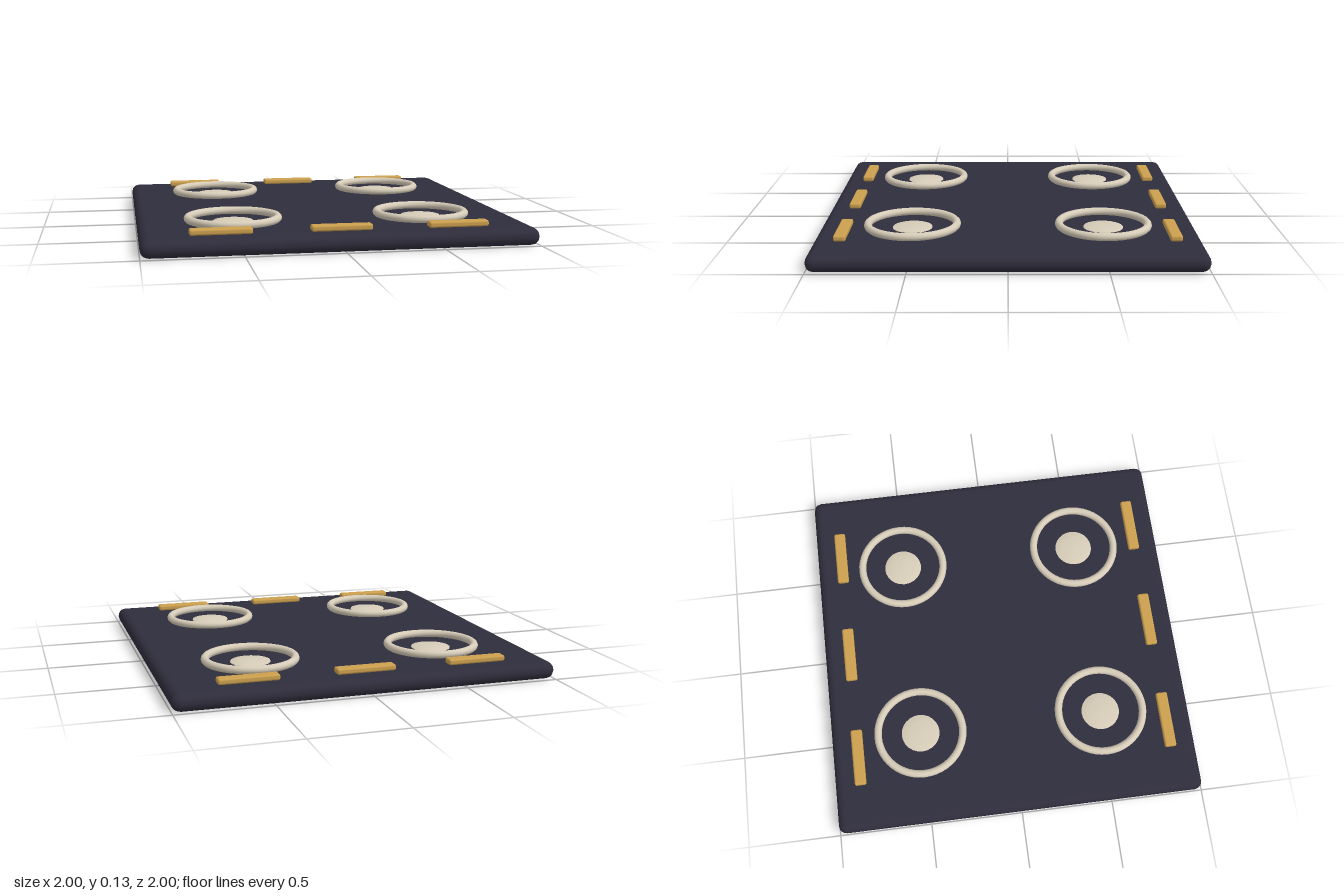
import * as THREE from 'three';
import { RoundedBoxGeometry } from 'three/addons/geometries/RoundedBoxGeometry.js';

function material(name, color) {
  const m = new THREE.MeshStandardMaterial({ color });
  m.name = name;
  return m;
}

export function createModel() {
  const group = new THREE.Group();
  const navy = material('dark navy', 0x2f2d3c);
  const cream = material('cream', 0xd6ccb8);
  const gold = material('gold', 0xcb9f4e);

  const add = (name, geometry, mat, x, y, z) => {
    const mesh = new THREE.Mesh(geometry, mat);
    mesh.name = name;
    mesh.position.set(x, y, z);
    group.add(mesh);
  };

  // Square slab with rounded edges
  add('slab', new RoundedBoxGeometry(2, 0.09, 2, 2, 0.044), navy, 0, 0.045, 0);

  // Raised ring around a shallow domed disc near each corner
  const ring = new THREE.TorusGeometry(0.235, 0.021, 12, 48).rotateX(Math.PI / 2);
  const disc = new THREE.LatheGeometry([
    new THREE.Vector2(0.106, -0.002),
    new THREE.Vector2(0.104, 0.005),
    new THREE.Vector2(0.06, 0.011),
    new THREE.Vector2(0, 0.014),
  ], 24);
  for (const x of [-0.505, 0.505]) {
    for (const z of [-0.505, 0.505]) {
      add('ring', ring, cream, x, 0.109, z);
      add('disc', disc, cream, x, 0.09, z);
    }
  }

  // Three bars along the front and back edges
  const bar = new RoundedBoxGeometry(0.312, 0.032, 0.064, 2, 0.011);
  for (const z of [-0.858, 0.858]) {
    for (const x of [-0.603, 0, 0.603]) add('bar', bar, gold, x, 0.105, z);
  }

  return group;
}
